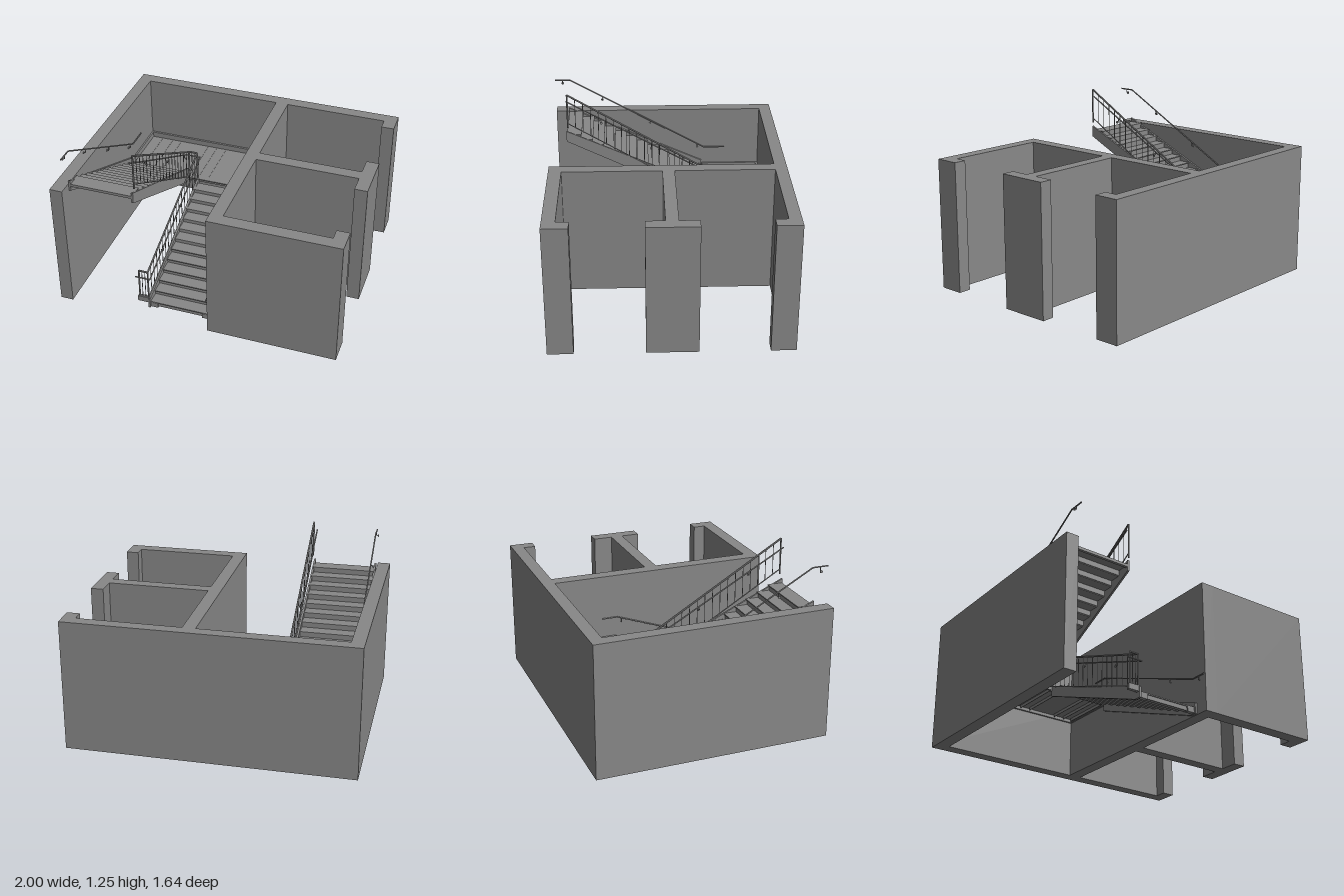
import * as THREE from 'three';

const material = new THREE.MeshStandardMaterial({ color: 0x888888, flatShading: true });
const WALL_H = 0.93, LAND_Y = 0.44, STEPS = 12, GOING = 0.0815;
const Z_FOOT = 0.71, Z_LAND = -0.275;

export function createModel() {
  const root = new THREE.Group();
  root.name = 'stairwell';

  const group = (name, parent = root) => {
    const g = new THREE.Group();
    g.name = name;
    parent.add(g);
    return g;
  };
  const add = (parent, name, geometry) => {
    const m = new THREE.Mesh(geometry, material);
    m.name = name;
    parent.add(m);
    return m;
  };
  // Box given by its limits on each axis
  const block = (parent, name, x0, x1, y0, y1, z0, z1) =>
    add(parent, name, new THREE.BoxGeometry(x1 - x0, y1 - y0, z1 - z0))
      .position.set((x0 + x1) / 2, (y0 + y1) / 2, (z0 + z1) / 2);
  // Round bar between two points
  const bar = (parent, name, a, b, r, sides = 8) => {
    const p = new THREE.Vector3(...a), d = new THREE.Vector3(...b).sub(p);
    const m = add(parent, name, new THREE.CylinderGeometry(r, r, d.length(), sides));
    m.position.copy(p).addScaledVector(d, 0.5);
    m.quaternion.setFromUnitVectors(new THREE.Vector3(0, 1, 0), d.normalize());
  };
  const path = (parent, name, points, r) => {
    for (let i = 1; i < points.length; i++) bar(parent, name, points[i - 1], points[i], r);
  };
  // Flat plate in the z-y plane, given thickness along x
  const plate = (parent, name, x, thick, outline) => {
    const shape = new THREE.Shape(outline.map(([z, y]) => new THREE.Vector2(z, y)));
    const g = new THREE.ExtrudeGeometry(shape, { depth: thick, bevelEnabled: false });
    g.rotateY(-Math.PI / 2).translate(x + thick / 2, 0, 0);
    add(parent, name, g);
  };

  // Walls and door piers
  const walls = group('walls');
  block(walls, 'leftWall', -1, -0.91, 0, WALL_H, -0.735, 0.82);
  block(walls, 'backWall', -1, 1, 0, WALL_H, -0.82, -0.735);
  block(walls, 'middleWall', 0.095, 0.185, 0, WALL_H, -0.735, 0.82);
  block(walls, 'frontRoomWall', 0.185, 1, 0, WALL_H, 0.73, 0.82);
  block(walls, 'partitionWall', 0.185, 0.91, 0, WALL_H, -0.045, 0.04);
  block(walls, 'backPier', 0.91, 1, 0, WALL_H, -0.735, -0.65);
  block(walls, 'middlePier', 0.91, 1, 0, WALL_H, -0.18, 0.17);
  block(walls, 'frontPier', 0.91, 1, 0, WALL_H, 0.645, 0.73);

  // Landing with edge skirting and stiffening ribs
  const landing = group('landing');
  block(landing, 'landingPlate', -0.905, 0.09, LAND_Y - 0.008, LAND_Y, -0.72, -0.275);
  block(landing, 'backSkirting', -0.91, 0.095, LAND_Y - 0.03, 0.48, -0.735, -0.72);
  block(landing, 'frontBeam', -0.905, 0.09, LAND_Y - 0.03, LAND_Y - 0.008, -0.305, -0.29);
  for (const x of [-0.91, 0.083]) block(landing, 'sideSkirting', x, x + 0.012, LAND_Y - 0.03, 0.48, -0.72, -0.3);
  for (const x of [-0.82, -0.735, -0.665, -0.44, -0.37, -0.295, -0.08, 0, 0.07])
    block(landing, 'landingRib', x - 0.002, x + 0.002, LAND_Y - 0.03, LAND_Y + 0.002, -0.7, -0.31);

  // One flight: treads, risers and a pair of stringers; dir is the climbing direction in z
  const flight = (name, x0, x1, zStart, dir, y0, rise) => {
    const g = group(name);
    const span = (z, len) => (dir > 0 ? [z, z + len] : [z - len, z]);
    for (let i = 0; i < STEPS; i++) {
      const z = zStart + dir * GOING * i, y = y0 + rise * (i + 1);
      block(g, 'tread', x0, x1, y - 0.008, y, ...span(z - dir * 0.008, GOING + 0.008));
      block(g, 'riser', x0, x1, y - rise - 0.004, y - 0.008, ...span(z, 0.006));
    }
    const zEnd = zStart + dir * GOING * STEPS, yEnd = y0 + rise * STEPS;
    const low = Math.max(0.005, y0 - 0.03);
    for (const x of [x0, x1])
      plate(g, 'stringer', x, 0.014, [
        [zStart - dir * 0.02, low], [zStart - dir * 0.02, y0 + rise + 0.025],
        [zEnd + dir * 0.02, yEnd + 0.03], [zEnd + dir * 0.02, yEnd - 0.05],
        [zStart + dir * 0.03, low]]);
    return g;
  };
  const lower = flight('lowerFlight', -0.365, 0.085, Z_FOOT, -1, 0.02, 0.0325);
  const upper = flight('upperFlight', -0.9, -0.45, Z_LAND, 1, LAND_Y, (WALL_H - LAND_Y) / STEPS);
  block(upper, 'topNosing', -0.9, -0.45, WALL_H - 0.02, WALL_H, 0.70, 0.72);
  for (const x of [-0.33, 0.05]) block(lower, 'footPlate', x - 0.027, x + 0.027, 0.01, 0.045, 0.69, 0.72);

  // Guard along a slope: posts, top rail, bottom rail and balusters
  const guard = (name, a, b, height, count) => {
    const g = group(name);
    const at = (t, h) => a.map((v, k) => v + (b[k] - v) * t + (k === 1 ? h : 0));
    bar(g, 'topRail', at(0, height), at(1, height), 0.007);
    bar(g, 'bottomRail', at(0, 0.035), at(1, 0.035), 0.004);
    for (let i = 0; i <= count; i++) {
      const end = i === 0 || i === count;
      bar(g, end ? 'post' : 'baluster', at(i / count, end ? 0 : 0.03), at(i / count, height), end ? 0.006 : 0.0025, 6);
    }
  };
  const XU = -0.437, XL = -0.372, FOOT = 0.05, TOP = 0.99;
  guard('lowerGuard', [XL, FOOT, 0.715], [XL, 0.40, -0.29], 0.255, 18);
  guard('upperGuard', [XU, 0.40, -0.29], [XU, TOP, 0.71], 0.255, 18);
  guard('landingGuard', [XU, 0.40, -0.295], [XL, 0.40, -0.295], 0.255, 3);
  guard('footGuard', [XU, FOOT, 0.715], [XL, FOOT, 0.715], 0.255, 3);
  block(root, 'footGuardBase', -0.45, -0.36, 0.045, 0.085, 0.70, 0.725);

  // Handrails on both sides of each flight, with small brackets
  const rails = group('handrails');
  const bracket = (x, y, z, side) => {
    path(rails, 'bracket', [[x, y, z], [x, y - 0.025, z], [x + side * 0.016, y - 0.03, z]], 0.003);
    bar(rails, 'bracketRose', [x + side * 0.012, y - 0.03, z], [x + side * 0.017, y - 0.03, z], 0.01);
  };
  const R = 0.005, UP = 1.187, MID = 0.62, LOW = 0.257;
  path(rails, 'leftWallHandrail', [[-0.893, MID, -0.47], [-0.893, MID, -0.31], [-0.893, UP, 0.71], [-0.893, UP, 0.82]], R);
  path(rails, 'rightWallHandrail', [[0.085, MID, -0.4], [0.085, MID, -0.29], [0.085, LOW, 0.71], [0.085, LOW, 0.815]], R);
  path(rails, 'innerHandrail', [[-0.46, UP, 0.72], [-0.46, MID, -0.30], [-0.352, MID, -0.30],
    [-0.352, LOW, 0.728], [-0.46, LOW, 0.728]], R);
  for (const t of [0.04, 0.4, 0.76]) {
    const z = -0.3 + t * 1.01, yU = MID + t * (UP - MID), yL = MID + t * (LOW - MID);
    bracket(-0.893, yU, z, -1);
    bracket(-0.46, yU, z, 1);
    bracket(0.085, yL, z, 1);
    bracket(-0.352, yL, z, -1);
  }
  bracket(-0.893, UP, 0.765, -1);
  bracket(0.085, LOW, 0.765, 1);

  return root;
}
